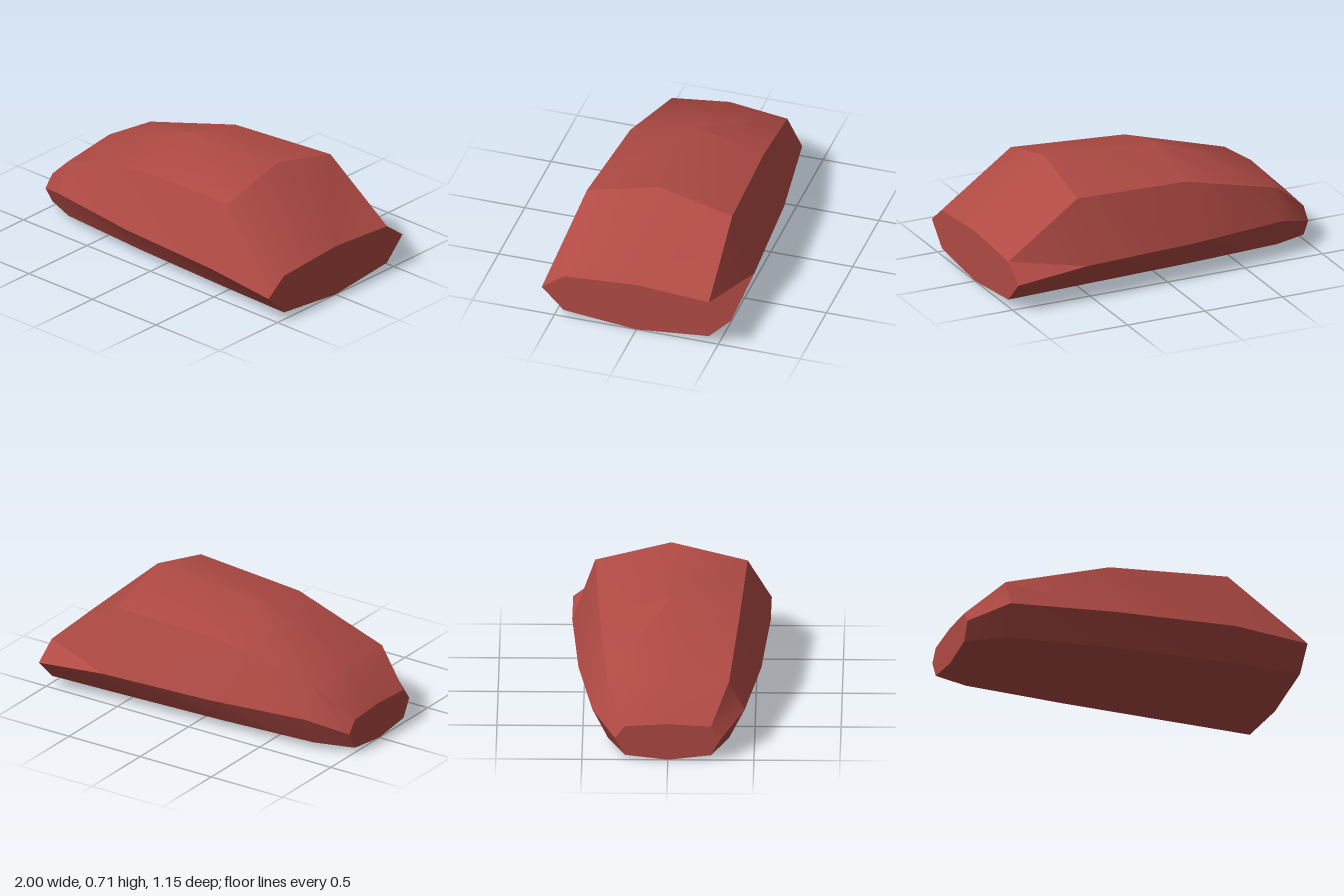
import * as THREE from 'three';
import { toCreasedNormals } from 'three/addons/utils/BufferGeometryUtils.js';

// Hull stations: x, ridge y, shoulder y, widest y, lower edge y, shoulder half-width, widest half-width
const STATIONS = [
  [-1.0, 0.225, 0.21, 0.137, 0.03, 0.25, 0.31],
  [-0.78, 0.445, 0.4, 0.225, 0.046, 0.352, 0.443],
  [-0.16, 0.668, 0.566, 0.225, 0.052, 0.408, 0.531],
  [0.555, 0.712, 0.6, 0.225, 0.054, 0.443, 0.577],
  [1.0, 0.312, 0.282, 0.18, 0.045, 0.443, 0.577],
];

// Eight-sided cross-section, counter-clockwise seen from +x
function ring([x, top, shoulder, mid, low, zs, zm]) {
  return [
    [x, top, 0], [x, shoulder, zs], [x, mid, zm], [x, low, zs],
    [x, 0, 0], [x, low, -zs], [x, mid, -zm], [x, shoulder, -zs],
  ];
}

function hullGeometry() {
  const n = 8, last = (STATIONS.length - 1) * n;
  const index = [];
  // Skin between neighbouring stations
  for (let s = 0; s < last; s += n) {
    for (let j = 0; j < n; j++) {
      const k = (j + 1) % n;
      const a = s + j, b = s + k, c = b + n, d = a + n;
      index.push(a, b, c, a, c, d);
    }
  }
  // Flat end caps
  for (let j = 1; j < n - 1; j++) {
    index.push(0, j + 1, j);
    index.push(last, last + j, last + j + 1);
  }
  const geometry = new THREE.BufferGeometry();
  geometry.setAttribute('position', new THREE.Float32BufferAttribute(STATIONS.flatMap(ring).flat(), 3));
  geometry.setIndex(index);
  return toCreasedNormals(geometry, THREE.MathUtils.degToRad(30));
}

export function createModel() {
  const red = new THREE.MeshStandardMaterial({ color: 0xb04a44 });
  red.name = 'brick red';
  const body = new THREE.Mesh(hullGeometry(), red);
  body.name = 'body';
  const group = new THREE.Group();
  group.name = 'facetedBody';
  group.add(body);
  return group;
}
